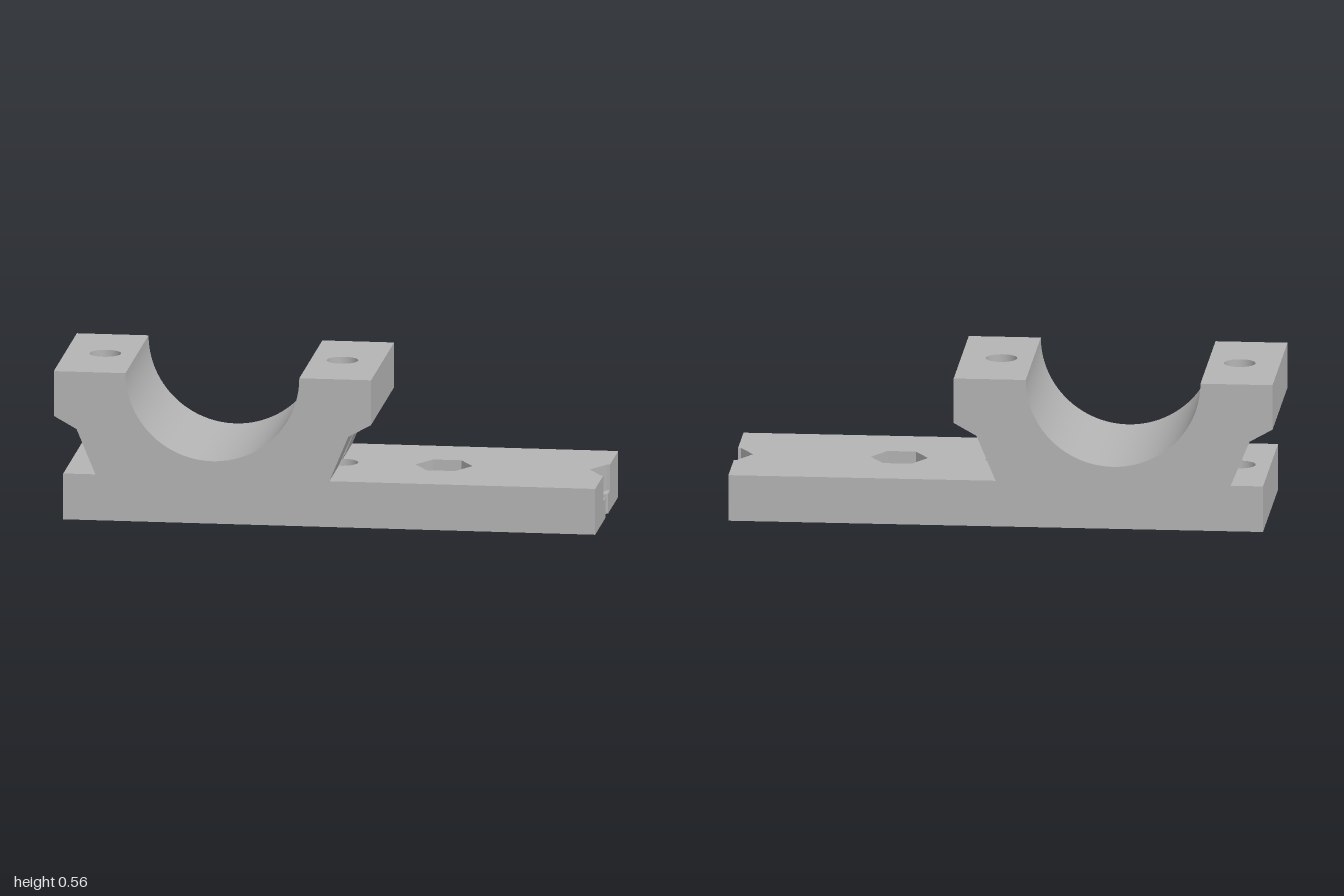
import * as THREE from 'three';

const Z = 0.32, BASE = 0.172, TOP = 0.555;       // half depth, base top, clamp top
const BACK = -0.965;                              // base end on the clamp side
const CX = -0.414, BORE = 0.321;                  // clamp centre and bore radius
const R = 0.058, HEX = 0.105, FLAT = HEX * Math.sqrt(3) / 2;
const BOLT = 0.438, FOOT = 0.432, NECK = 0.502, RIM = 0.586; // offsets from CX
const NECK_Y = 0.34, RIM_Y = 0.387;
const NUT_TOP = 0.097, NUT_FLOOR = 0.075;
const PLATE_HOLE = 0.399, END_HOLE = 1.042;

export function createModel() {
  const model = new THREE.Group();
  const grey = new THREE.MeshStandardMaterial({ color: 0xb4b4b4 });
  grey.name = 'grey';

  const add = (name, geometry) => {
    const mesh = new THREE.Mesh(geometry, grey);
    mesh.name = name;
    model.add(mesh);
  };
  const arc = (cx, cy, r, a0, a1, n) => Array.from({ length: n + 1 }, (_, i) => {
    const a = a0 + (a1 - a0) * i / n;
    return [cx + r * Math.cos(a), cy + r * Math.sin(a)];
  });
  const circle = (x) => arc(x, 0, R, 0, Math.PI * 2, 48);
  const hexagon = (x) => arc(x, 0, HEX, 0, Math.PI * 2, 6);
  const toShape = (pts) => new THREE.Shape(pts.map(([a, b]) => new THREE.Vector2(a, b)));
  const flip = (geometry) => {
    geometry.index.array.reverse();
    geometry.computeVertexNormals();
    return geometry;
  };

  // Flat or sloping face drawn in x and z, with its height given by yOf(x)
  const sheet = (name, outline, holes, yOf, up) => {
    const shape = toShape(outline);
    shape.holes = holes.map((h) => toShape(h.slice(0, -1)));
    const g = new THREE.ShapeGeometry(shape);
    const p = g.attributes.position;
    for (let i = 0; i < p.count; i++) p.setXYZ(i, p.getX(i), yOf(p.getX(i)), p.getY(i));
    if (up) flip(g);
    g.computeVertexNormals();
    add(name, g);
  };

  // Strip swept from lo to hi: along y over an xz path, or along z over an xy path
  const strip = (name, path, lo, hi, { smooth = false, alongZ = false } = {}) => {
    const pos = [], idx = [];
    path.forEach(([a, b], i) => {
      const l = typeof lo === 'function' ? lo(a) : lo;
      if (alongZ) pos.push(a, b, l, a, b, hi);
      else pos.push(a, l, b, a, hi, b);
      const k = 2 * i;
      if (i) idx.push(k - 2, k, k + 1, k - 2, k + 1, k - 1);
    });
    let g = new THREE.BufferGeometry();
    g.setAttribute('position', new THREE.Float32BufferAttribute(pos, 3));
    g.setIndex(idx);
    if (!smooth) g = g.toNonIndexed();
    g.computeVertexNormals();
    add(name, g);
  };
  const at = (y) => () => y;
  const round = { smooth: true }, side = { alongZ: true };

  // Front and back faces
  const bore = arc(CX, TOP, BORE, 0, -Math.PI, 64);
  const profile = [
    [BACK, 0], [1, 0], [1, BASE],
    [CX + FOOT, BASE], [CX + NECK, NECK_Y], [CX + RIM, RIM_Y], [CX + RIM, TOP],
    ...bore,
    [CX - RIM, TOP], [CX - RIM, RIM_Y], [CX - NECK, NECK_Y], [CX - FOOT, BASE], [BACK, BASE],
  ];
  add('frontFace', new THREE.ShapeGeometry(toShape(profile)).translate(0, 0, Z));
  add('backFace', flip(new THREE.ShapeGeometry(toShape(profile)).translate(0, 0, -Z)));
  strip('bore', bore, -Z, Z, { smooth: true, alongZ: true });

  // Open nut pocket and bolt slot in the free end of the base
  const b = Math.acos((1 - END_HOLE) / R);
  const endSlot = arc(END_HOLE, 0, R, b, 2 * Math.PI - b, 20);
  const slotZ = R * Math.sin(b);
  const endHex = [[1, FLAT], [END_HOLE - HEX / 2, FLAT], [END_HOLE - HEX, 0],
    [END_HOLE - HEX / 2, -FLAT], [1, -FLAT]];
  strip('endNutPocket', endHex, NUT_FLOOR, BASE);
  strip('endBoltSlot', endSlot, 0, NUT_FLOOR, round);
  sheet('endPocketFloor', [...endHex, ...[...endSlot].reverse()], [], at(NUT_FLOOR), true);
  for (const [y0, y1, z] of [[0, NUT_FLOOR, slotZ], [NUT_FLOOR, BASE, FLAT]]) {
    strip('baseEnd', [[1, y0], [1, y1]], z, Z, side);
    strip('baseEnd', [[1, y0], [1, y1]], -Z, -z, side);
  }

  // Base underside and rear end
  sheet('baseUnderside', [[BACK, -Z], [BACK, Z], [1, Z], ...endSlot, [1, -Z]],
    [hexagon(CX - BOLT), hexagon(CX + BOLT), circle(PLATE_HOLE)], at(0), false);
  strip('baseRearEnd', [[BACK, BASE], [BACK, 0]], -Z, Z, side);

  // Bolt hole with nut pocket in the plate
  strip('plateNutPocket', hexagon(PLATE_HOLE), NUT_FLOOR, BASE);
  sheet('plateNutFloor', hexagon(PLATE_HOLE).slice(0, -1), [circle(PLATE_HOLE)], at(NUT_FLOOR), true);
  strip('plateBoltHole', circle(PLATE_HOLE), 0, NUT_FLOOR, round);

  // Two mirrored clamp shoulders with bolt holes
  const a = Math.acos((FOOT - BOLT) / R);
  const notch = arc(BOLT, 0, R, -a, a, 32);
  const slope = (x) => BASE + (Math.abs(x - CX) - FOOT) * (NECK_Y - BASE) / (NECK - FOOT);
  const lip = (x) => NECK_Y + (Math.abs(x - CX) - NECK) * (RIM_Y - NECK_Y) / (RIM - NECK);
  for (const s of [1, -1]) {
    const place = (pts) => pts.map(([d, z]) => [CX + s * d, z]);
    const rect = (d0, d1) => place([[d0, -Z], [d1, -Z], [d1, Z], [d0, Z]]);
    const x = CX + s * BOLT;

    sheet('shoulderTop', rect(BORE, RIM), [circle(x)], at(TOP), true);
    sheet('shoulderLip', rect(NECK, RIM), [], lip, false);
    sheet('shoulderNeck', place([[FOOT, -Z], [NECK, -Z], [NECK, Z], [FOOT, Z],
      ...[...notch].reverse()]), [], slope, false);
    const rim = [[CX + s * RIM, RIM_Y], [CX + s * RIM, TOP]];
    strip('shoulderSide', s > 0 ? rim : rim.reverse(), -Z, Z, side);

    // Base top beside the clamp
    const inner = place([[FOOT, -Z], ...notch, [FOOT, Z]]);
    const outer = s > 0 ? [[1, Z], ...endHex, [1, -Z]] : [[BACK, Z], [BACK, -Z]];
    sheet('baseTop', [...inner, ...outer], s > 0 ? [hexagon(PLATE_HOLE)] : [], at(BASE), true);

    // Bolt hole, with a nut pocket from below
    strip('shoulderBoltHole', circle(x), (px) => Math.max(BASE, slope(px)), TOP, round);
    strip('baseBoltHole', circle(x), NUT_TOP, BASE, round);
    strip('baseNutPocket', hexagon(x), 0, NUT_TOP);
    sheet('baseNutCeiling', hexagon(x).slice(0, -1), [circle(x)], at(NUT_TOP), false);
  }
  return model;
}
